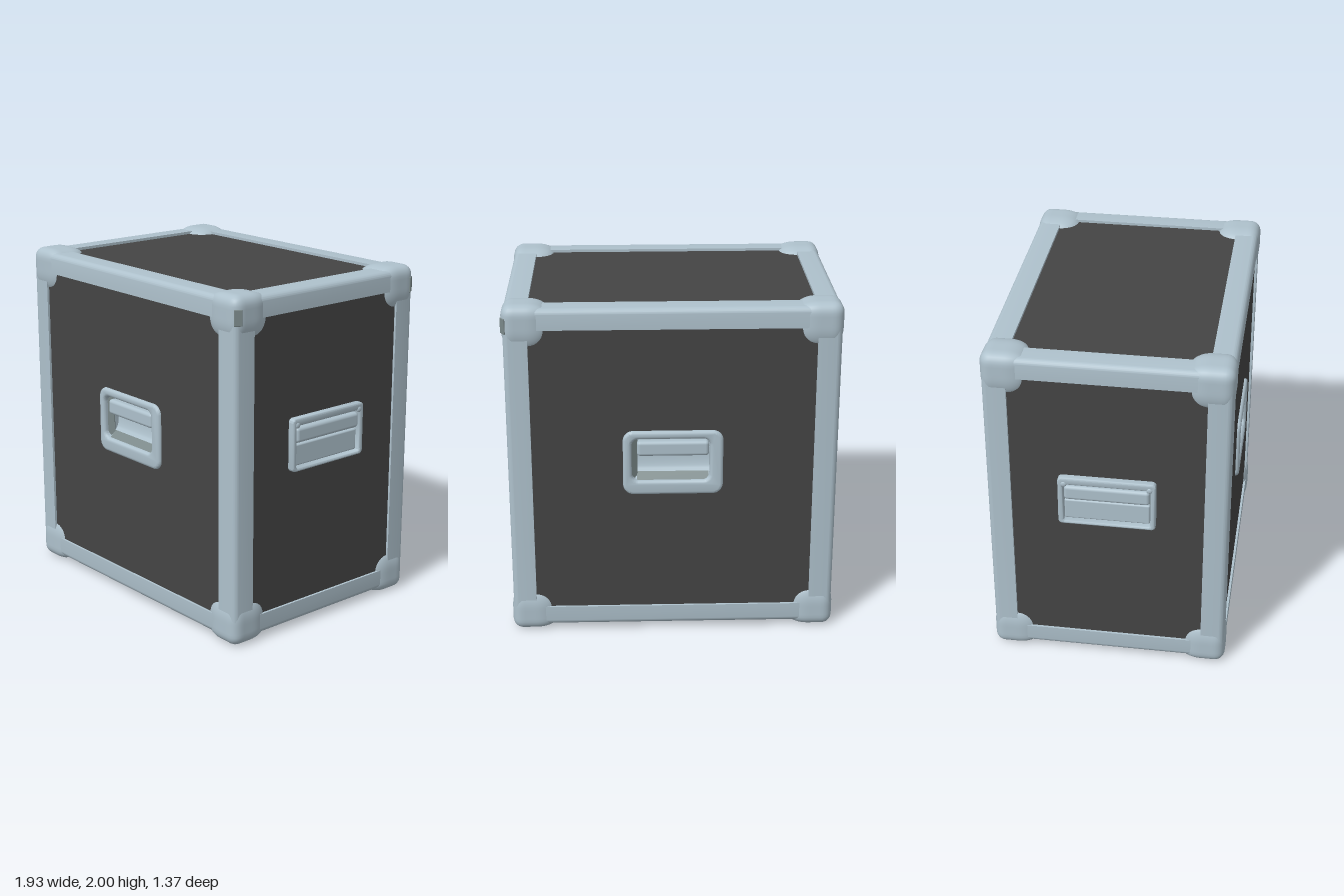
import * as THREE from 'three';
import { toCreasedNormals, mergeVertices } from 'three/addons/utils/BufferGeometryUtils.js';
import { RoundedBoxGeometry } from 'three/addons/geometries/RoundedBoxGeometry.js';

const HX = 0.937, HY = 0.975, HZ = 0.68; // half sizes of the edging
const WIDE = 0.136, LOW = 0.12; // edging width sideways and upright
const MID = 1.007; // height of the case centre

export function createModel() {
  const steel = new THREE.MeshStandardMaterial({ name: 'steel', color: 0xaec1cc });
  const darkSteel = new THREE.MeshStandardMaterial({ name: 'darkSteel', color: 0x7b898a });
  const black = new THREE.MeshStandardMaterial({ name: 'blackPanel', color: 0x444444 });

  const root = new THREE.Group();
  root.name = 'flightCase';
  const add = (parent, name, geo, mat, x = 0, y = 0, z = 0) => {
    const m = new THREE.Mesh(geo, mat);
    m.name = name;
    m.position.set(x, y, z);
    parent.add(m);
    return m;
  };

  // Rounded rectangle between two corners
  const roundRect = (T, x0, y0, x1, y1, r) => {
    const s = new T();
    s.moveTo(x0 + r, y0);
    s.lineTo(x1 - r, y0);
    s.absarc(x1 - r, y0 + r, r, -Math.PI / 2, 0);
    s.lineTo(x1, y1 - r);
    s.absarc(x1 - r, y1 - r, r, 0, Math.PI / 2);
    s.lineTo(x0 + r, y1);
    s.absarc(x0 + r, y1 - r, r, Math.PI / 2, Math.PI);
    s.lineTo(x0, y0 + r);
    s.absarc(x0 + r, y0 + r, r, Math.PI, Math.PI * 1.5);
    return s;
  };

  // Plate with a hole, its outer face at z = top
  const plate = (shape, hole, depth, top, bevel = 0) => {
    if (hole) shape.holes.push(hole);
    const g = new THREE.ExtrudeGeometry(shape, {
      depth: depth - bevel, curveSegments: 8, bevelEnabled: bevel > 0,
      bevelThickness: bevel, bevelSize: bevel, bevelOffset: -bevel, bevelSegments: 3,
    });
    g.translate(0, 0, top - depth);
    return toCreasedNormals(g, 0.6);
  };

  // Panel group whose local z = 0 is the panel surface
  const side = (name, hw, hh, hole, rotX, rotY, x, y, z) => {
    const g = new THREE.Group();
    g.name = name;
    g.position.set(x, y, z);
    g.rotation.set(rotX, rotY, 0);
    add(g, 'panel', plate(roundRect(THREE.Shape, -hw, -hh, hw, hh, 0.01), hole, 0.03, 0), black);
    root.add(g);
    return g;
  };

  // Recessed handle of the front and back; y is relative to the panel centre
  const dishHandle = (g) => {
    add(g, 'handleFrame', plate(roundRect(THREE.Shape, -0.285, -0.135, 0.285, 0.253, 0.06),
      roundRect(THREE.Path, -0.235, -0.05, 0.21, 0.205, 0.04), 0.12, 0.02, 0.018), steel);
    add(g, 'handleRecess', new THREE.BoxGeometry(0.48, 0.3, 0.01), steel, 0, 0.08, -0.09);
    add(g, 'recessSideWall', new THREE.BoxGeometry(0.045, 0.25, 0.009), darkSteel, -0.222, 0.08, -0.022)
      .rotation.y = 0.6;
    // curved scoop under the grip, with a dark sloping lip
    const s = new THREE.Shape();
    s.moveTo(0.09, -0.06);
    s.lineTo(0.045, -0.015);
    s.quadraticCurveTo(0.015, 0, 0.01, 0.12);
    s.lineTo(0, 0.12);
    s.lineTo(0, -0.06);
    const scoop = new THREE.ExtrudeGeometry(s, { depth: 0.43, bevelEnabled: false, curveSegments: 8 });
    scoop.rotateY(-Math.PI / 2);
    scoop.translate(0.215, 0, -0.09);
    add(g, 'handleScoop', toCreasedNormals(scoop, 0.6), steel);
    add(g, 'scoopLip', new THREE.BoxGeometry(0.41, 0.058, 0.009), darkSteel, 0, -0.036, -0.022)
      .rotation.x = -Math.PI / 4;
    add(g, 'handleGrip', new RoundedBoxGeometry(0.41, 0.09, 0.06, 3, 0.02), steel, 0, 0.143, -0.018);
  };

  // Flat sprung handle of the two sides
  const sideHandle = (g) => {
    add(g, 'handleFrame', plate(roundRect(THREE.Shape, -0.275, -0.057, 0.275, 0.253, 0.025),
      roundRect(THREE.Path, -0.245, -0.037, 0.245, 0.208, 0.015), 0.08, 0.038, 0.01), steel);
    add(g, 'handleRecess', new THREE.BoxGeometry(0.5, 0.26, 0.01), darkSteel, 0, 0.086, -0.025);
    add(g, 'handleGrip', new RoundedBoxGeometry(0.482, 0.09, 0.055, 3, 0.02), steel, 0, 0.151, 0.008);
    add(g, 'handleLowerPlate', new RoundedBoxGeometry(0.482, 0.125, 0.03, 2, 0.01), steel, 0, 0.032, 0);
    for (const x of [-0.24, 0.24]) {
      const rivet = add(g, 'rivet', new THREE.SphereGeometry(0.018, 12, 6, 0, Math.PI * 2, 0, Math.PI / 2),
        steel, x, 0.213, 0.034);
      rivet.rotation.x = Math.PI / 2;
      rivet.scale.y = 0.5;
    }
  };

  // Panels and handles
  const dishHole = () => roundRect(THREE.Path, -0.26, -0.1, 0.26, 0.23, 0.05);
  const sideHole = () => roundRect(THREE.Path, -0.26, -0.047, 0.26, 0.233, 0.02);
  const under = 0.05; // how far panels run under the edging
  const w = HX - under, h = HY - under, d = HZ - under;
  dishHandle(side('front', w, h, dishHole(), 0, 0, 0, MID, 0.666));
  dishHandle(side('back', w, h, dishHole(), 0, Math.PI, 0, MID, -0.666));
  sideHandle(side('leftSide', d, h, sideHole(), 0, Math.PI / 2, 0.923, MID, 0));
  sideHandle(side('rightSide', d, h, sideHole(), 0, -Math.PI / 2, -0.923, MID, 0));
  side('top', w, d, null, -Math.PI / 2, 0, 0, 1.966, 0);
  side('bottom', w, d, null, Math.PI / 2, 0, 0, 0.048, 0);

  // Edging bar of the given width and height, outer edge rounded at the origin
  const barGeometry = (bw, bh, length) => {
    const r = 0.035;
    const s = new THREE.Shape();
    s.moveTo(-bw, -bh);
    s.lineTo(0, -bh);
    s.lineTo(0, -r);
    s.absarc(-r, -r, r, 0, Math.PI / 2);
    s.lineTo(-bw, 0);
    const geo = new THREE.ExtrudeGeometry(s, { depth: length, bevelEnabled: false, curveSegments: 6 });
    geo.translate(0, 0, -length / 2);
    return toCreasedNormals(geo, 0.6);
  };

  // Four bars around one axis
  const bars = (name, half, u, v, bv, rx, ry) => {
    const g = new THREE.Group();
    g.name = name;
    g.position.y = MID;
    g.rotation.set(rx, ry, 0);
    [[1, 1], [-1, 1], [-1, -1], [1, -1]].forEach(([a, b], i) => {
      const geo = i % 2 ? barGeometry(bv, WIDE, 2 * half - 0.2) : barGeometry(WIDE, bv, 2 * half - 0.2);
      add(g, 'edgeBar', geo, steel, a * u, b * v).rotation.z = i * Math.PI / 2;
    });
    root.add(g);
  };
  bars('depthEdging', HZ, HX, HY, LOW, 0, 0);
  bars('widthEdging', HX, HZ, HY, LOW, 0, Math.PI / 2);
  bars('heightEdging', HY, HX, HZ, WIDE, Math.PI / 2, 0);

  // Bulging corner caps: tight rounding outside, broad rounding inside
  const S = 0.26, OUT = 0.06, IN = 0.12;
  const cornerGeometry = (signs) => {
    let g = new THREE.BoxGeometry(S, S, S, 14, 14, 14);
    g.deleteAttribute('normal');
    g.deleteAttribute('uv');
    g = mergeVertices(g);
    const p = g.attributes.position;
    for (let i = 0; i < p.count; i++) {
      const q = [p.getX(i), p.getY(i), p.getZ(i)].map((c, k) => c * signs[k]);
      const core = q.map((c) => Math.min(Math.max(c, -S / 2 + IN), S / 2 - OUT));
      const rad = q.map((c, k) => (c < core[k] ? IN : OUT));
      const e = q.map((c, k) => (c - core[k]) / rad[k]);
      const len = Math.hypot(...e) || 1;
      p.setXYZ(i, ...e.map((c, k) => (core[k] + c / len * rad[k]) * signs[k]));
    }
    g.computeVertexNormals();
    return g;
  };
  for (const sx of [-1, 1]) for (const sy of [-1, 1]) for (const sz of [-1, 1]) {
    add(root, 'cornerCap', cornerGeometry([sx, sy, sz]), steel,
      sx * (0.945 - S / 2), 1 + sy * (1 - S / 2), sz * (0.687 - S / 2));
  }

  // Worn patches on the two upper left corners
  const turn = 1.0;
  for (const sz of [-1, 1]) {
    add(root, 'wornPatch', new RoundedBoxGeometry(0.045, 0.09, 0.009, 2, 0.004), darkSteel,
      0.885 + 0.059 * Math.sin(turn), 1.885, sz * (0.627 + 0.059 * Math.cos(turn)))
      .rotation.y = sz > 0 ? turn : Math.PI - turn;
  }
  return root;
}
